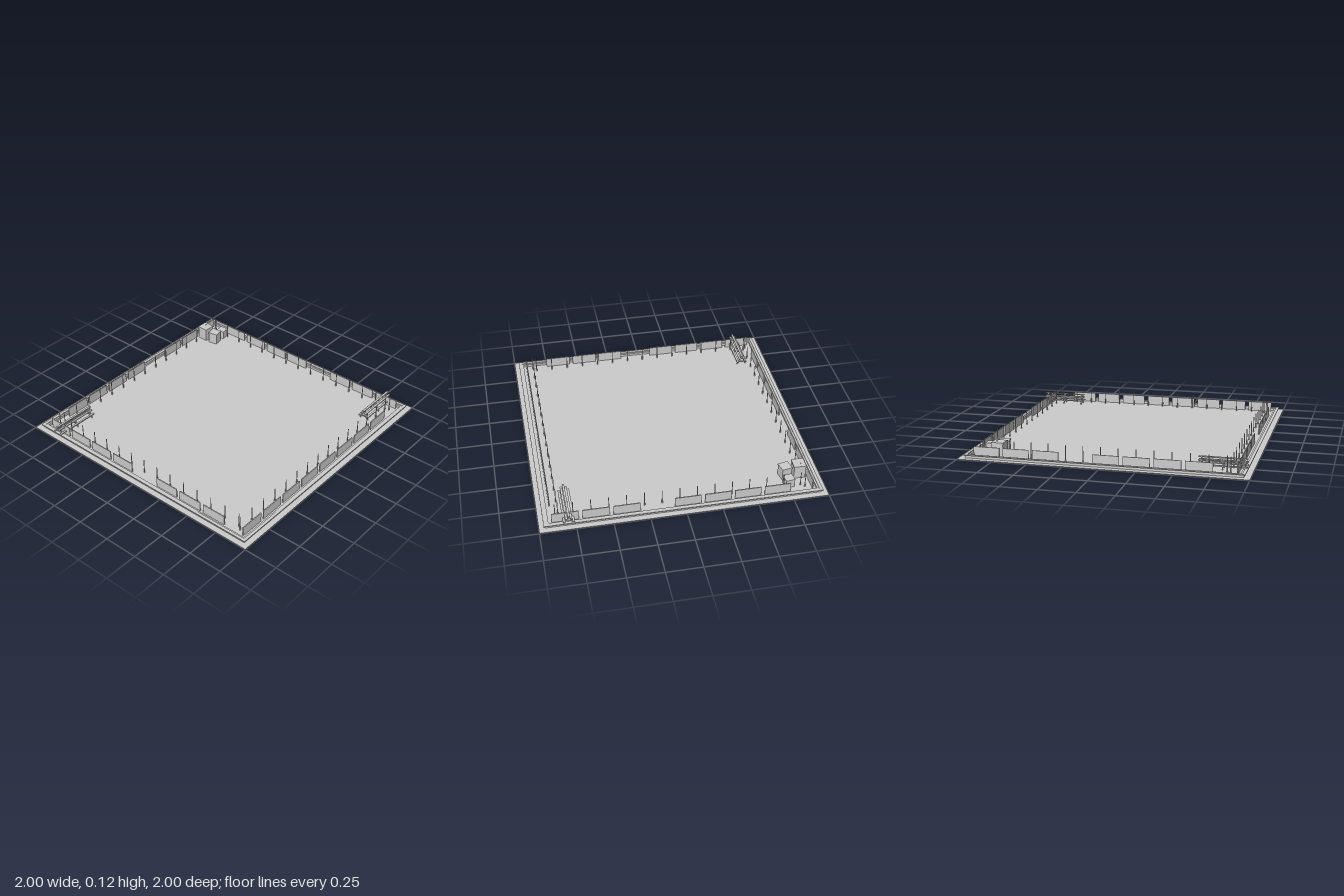
import * as THREE from 'three';

const grey = new THREE.MeshStandardMaterial({ color: 0xcccccc });
grey.name = 'plain grey';

function add(parent, name, geometry, x = 0, y = 0, z = 0) {
  const mesh = new THREE.Mesh(geometry, grey);
  mesh.name = name;
  mesh.position.set(x, y, z);
  parent.add(mesh);
  return mesh;
}

// Box standing on height y
function box(parent, name, w, h, d, x, y, z) {
  return add(parent, name, new THREE.BoxGeometry(w, h, d), x, y + h / 2, z);
}

// Square ring lying flat, between two half widths
function ring(parent, name, outer, inner, y, height) {
  const square = (s, Type) => new Type([[-s, -s], [s, -s], [s, s], [-s, s]].map(([a, b]) => new THREE.Vector2(a, b)));
  const shape = square(outer, THREE.Shape);
  shape.holes.push(square(inner, THREE.Path));
  const geometry = new THREE.ExtrudeGeometry(shape, { depth: height, bevelEnabled: false });
  geometry.rotateX(-Math.PI / 2);
  add(parent, name, geometry, 0, y, 0);
}

// One edge of the yard, built along the front: barrier panels and slim posts
function createSide(name, missing) {
  const side = new THREE.Group();
  side.name = name;
  for (let i = 0; i < 8; i++) {
    if (i === missing) continue;
    box(side, 'barrierPanel', 0.185, 0.071, 0.007, -0.91 + i * 0.2105 + 0.0925, 0.004, 0.908);
  }
  for (let i = 0; i < 15; i++) {
    const x = -0.881 + i * 0.1225;
    add(side, 'post', new THREE.CylinderGeometry(0.003, 0.003, 0.111, 8), x, 0.0595, 0.86);
    add(side, 'postFoot', new THREE.CylinderGeometry(0.0045, 0.0045, 0.035, 8), x, 0.0215, 0.86);
  }
  return side;
}

// Stepped double-sided bench with A-shaped trestles
function createBench() {
  const bench = new THREE.Group();
  bench.name = 'bench';
  for (const [z, y] of [[0, 0.078], [-0.016, 0.056], [0.016, 0.056], [-0.032, 0.03], [0.032, 0.03]]) {
    box(bench, 'plank', 0.33, 0.007, 0.015, 0, y, z);
  }
  for (const x of [-0.145, 0, 0.145]) {
    for (const s of [-1, 1]) {
      const leg = add(bench, 'trestleLeg', new THREE.BoxGeometry(0.007, 0.082, 0.006), x, 0.041, s * 0.017);
      leg.rotation.x = -s * 0.41;
    }
    box(bench, 'lowerCrossbar', 0.007, 0.005, 0.07, x, 0.025, 0);
    box(bench, 'upperCrossbar', 0.007, 0.005, 0.038, x, 0.051, 0);
  }
  return bench;
}

// Crate with a slightly wider lid
function createCrate(size, height, x, z, turn) {
  const crate = new THREE.Group();
  crate.name = 'crate';
  box(crate, 'crateBody', size * 0.94, height - 0.012, size * 0.94, 0, 0, 0);
  box(crate, 'crateLid', size, 0.012, size, 0, height - 0.012, 0);
  crate.position.set(x, 0.004, z);
  crate.rotation.y = turn;
  return crate;
}

export function createModel() {
  const model = new THREE.Group();
  model.name = 'fencedYard';

  // Ground and kerb
  box(model, 'groundSlab', 2, 0.004, 2, 0, 0, 0);
  ring(model, 'kerb', 0.957, 0.932, 0.004, 0.017);
  ring(model, 'kerbCap', 0.967, 0.945, 0.021, 0.006);

  // Four edges turned around the centre, three with an entrance gap
  ['frontSide', 'leftSide', 'backSide', 'rightSide'].forEach((name, i) => {
    const side = createSide(name, [-1, 3, 3, -1][i]);
    side.rotation.y = i * Math.PI / 2;
    model.add(side);
  });

  // The right edge runs the same way but opens past its middle
  const rightSide = model.getObjectByName('rightSide');
  model.remove(rightSide);
  const opened = createSide('rightSide', 4);
  opened.rotation.y = -Math.PI / 2;
  model.add(opened);

  // Benches in opposite corners
  for (const s of [-1, 1]) {
    const bench = createBench();
    bench.position.set(s * 0.797, 0, s * 0.797);
    model.add(bench);
  }

  // Crates in the back corner
  model.add(
    createCrate(0.088, 0.103, 0.745, -0.85, -0.03),
    createCrate(0.076, 0.09, 0.744, -0.752, 0.2),
    createCrate(0.066, 0.066, 0.842, -0.754, 0.12)
  );
  return model;
}
